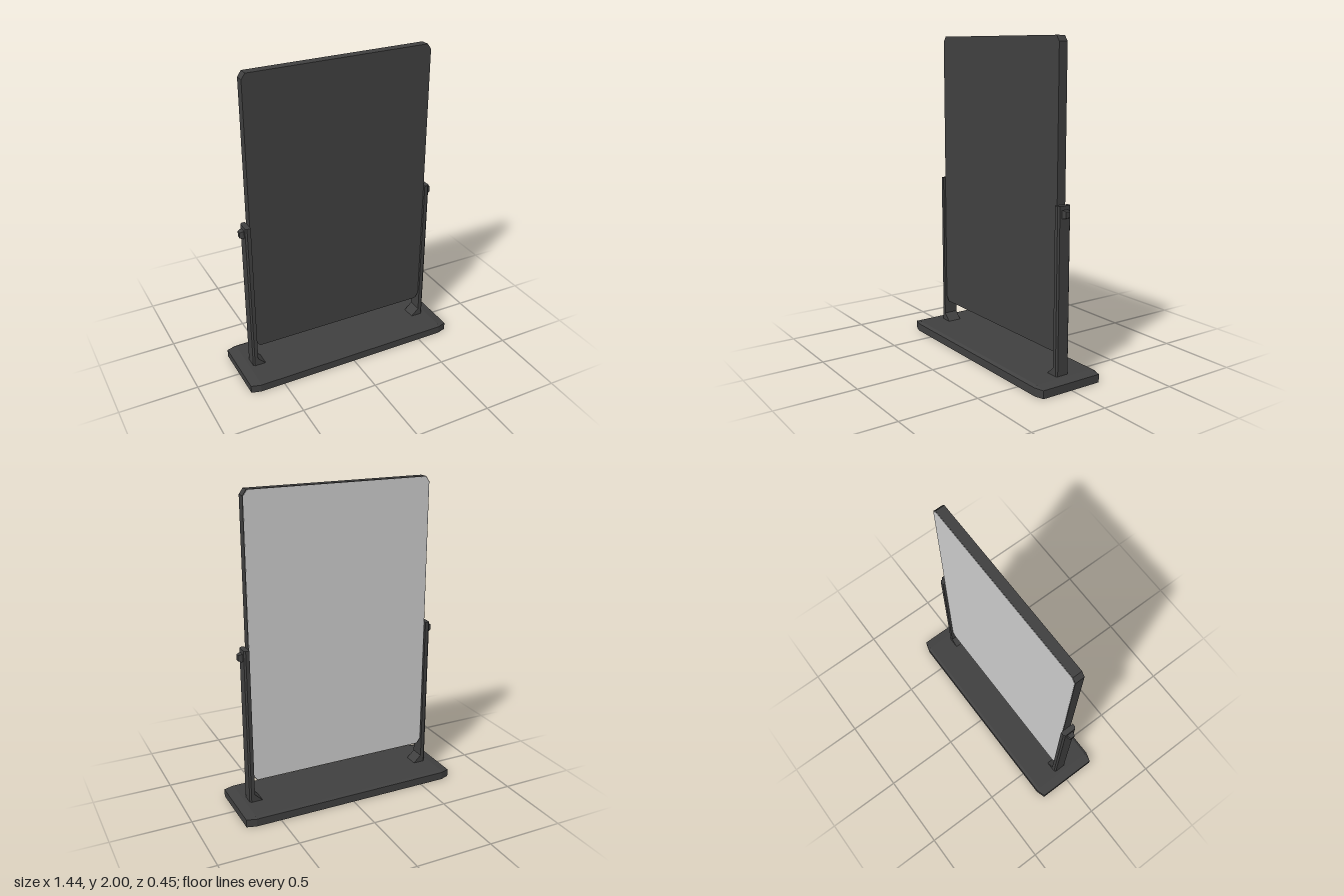
import * as THREE from 'three';
import { ConvexGeometry } from 'three/addons/geometries/ConvexGeometry.js';

const frameMat = new THREE.MeshStandardMaterial({ color: 0x404040 });
frameMat.name = 'charcoal';
const glassMat = new THREE.MeshStandardMaterial({ color: 0xcccccc });
glassMat.name = 'silver';

const v = (x, y, z) => new THREE.Vector3(x, y, z);

function add(parent, name, geometry, material = frameMat) {
  const mesh = new THREE.Mesh(geometry, material);
  mesh.name = name;
  parent.add(mesh);
  return mesh;
}

// Rectangle with cut corners, centred on the origin
function cutRect(hw, hh, cx, cy) {
  return new THREE.Shape([
    [hw, -hh + cy], [hw, hh - cy], [hw - cx, hh], [-hw + cx, hh],
    [-hw, hh - cy], [-hw, -hh + cy], [-hw + cx, -hh], [hw - cx, -hh],
  ].map(([x, y]) => new THREE.Vector2(x, y)));
}

// Base plate: cut corners and a shallow bevel around the top
function baseGeometry() {
  const points = [];
  for (const sx of [-1, 1]) for (const sz of [-1, 1]) {
    for (const y of [0, 0.05]) {
      points.push(v(sx * 0.72, y, sz * 0.205), v(sx * 0.66, y, sz * 0.223));
    }
    points.push(v(sx * 0.66, 0.062, sz * 0.205));
  }
  return new ConvexGeometry(points);
}

// One side support, s = 1 for the left and -1 for the right
function support(s) {
  const group = new THREE.Group();
  group.name = s > 0 ? 'leftSupport' : 'rightSupport';
  const post = [], brace = [], knob = [];
  for (const sz of [-1, 1]) {
    for (const y of [0.055, 1.065]) {
      post.push(v(s * 0.602, y, sz * 0.045), v(s * 0.625, y, sz * 0.045), v(s * 0.635, y, sz * 0.036));
    }
    brace.push(v(s * 0.605, 0.055, sz * 0.045), v(s * 0.605, 0.112, sz * 0.045), v(s * 0.545, 0.055, sz * 0.045));
    for (const sy of [-1, 1]) {
      knob.push(v(s * 0.63, 1.017 + sy * 0.024, sz * 0.02), v(s * 0.645, 1.017 + sy * 0.024, sz * 0.02),
        v(s * 0.662, 1.017 + sy * 0.018, sz * 0.014));
    }
  }
  add(group, 'post', new ConvexGeometry(post));
  add(group, 'footBrace', new ConvexGeometry(brace));
  add(group, 'pivotKnob', new ConvexGeometry(knob));
  return group;
}

export function createModel() {
  const model = new THREE.Group();
  model.name = 'standingMirror';
  add(model, 'base', baseGeometry());
  model.add(support(1), support(-1));

  // Swinging panel with the mirror glass on its back
  const panel = new THREE.Group();
  panel.name = 'panel';
  panel.position.y = 1.1;
  const board = new THREE.ExtrudeGeometry(cutRect(0.602, 0.9, 0.024, 0.034), { depth: 0.058, bevelEnabled: false });
  add(panel, 'backing', board.translate(0, 0, -0.028));
  const glass = new THREE.ExtrudeGeometry(cutRect(0.599, 0.897, 0.024, 0.034), { depth: 0.003, bevelEnabled: false });
  add(panel, 'mirrorGlass', glass.translate(0, 0, -0.03), glassMat);
  model.add(panel);
  return model;
}
